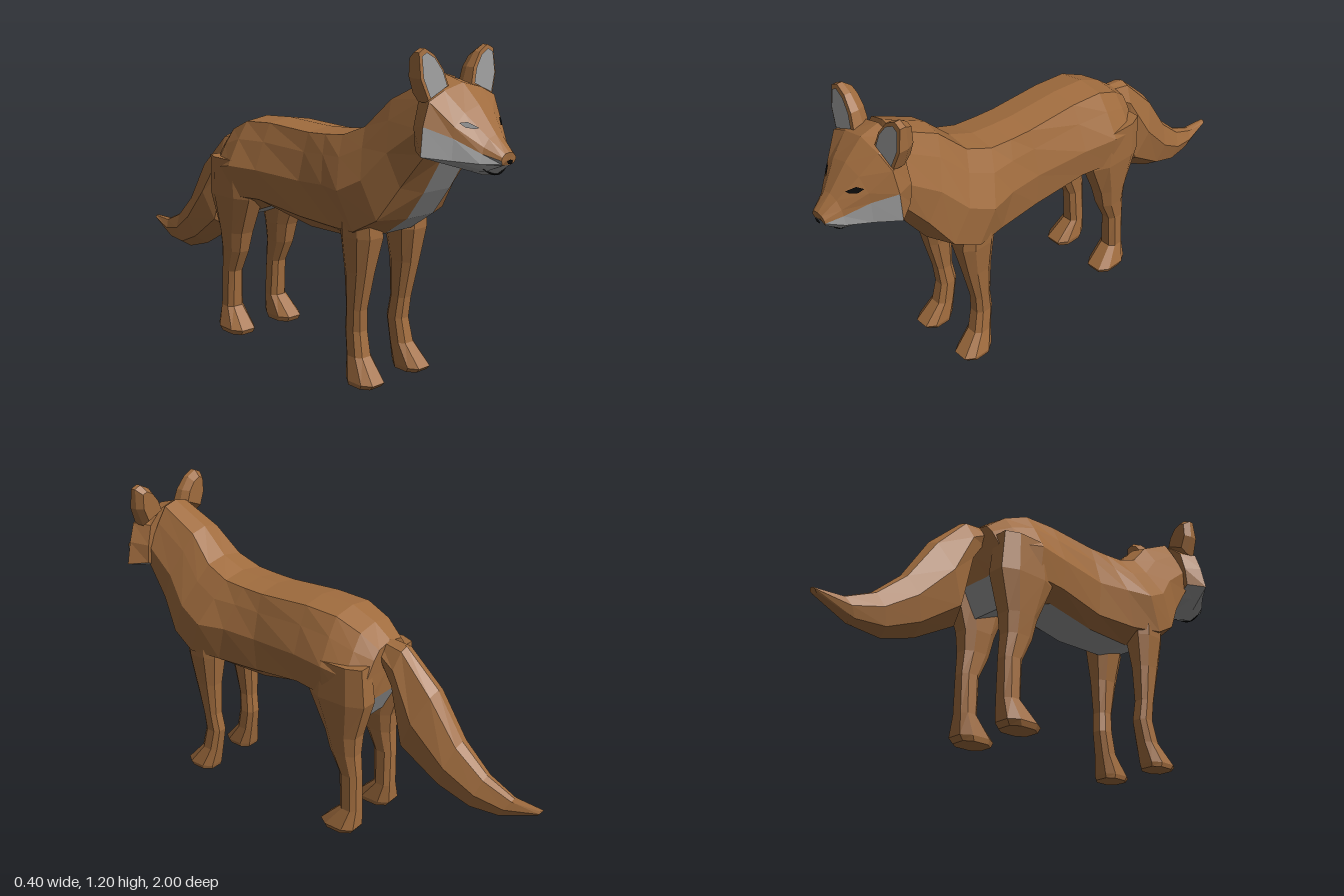
import * as THREE from 'three';

const fur = new THREE.MeshStandardMaterial({ color: 0xa06c3e });
fur.name = 'brown fur';
const pale = new THREE.MeshStandardMaterial({ color: 0x999999 });
pale.name = 'pale fur';
const dark = new THREE.MeshStandardMaterial({ color: 0x080808 });
dark.name = 'black';

const mix = THREE.MathUtils.lerp;

// Flat-shaded skin over closed rings; paint(section, strip) returns 0 fur or 1 pale, section -1 is a cap
function loft(name, rings, paint = () => 0) {
  const faces = [[], []];
  const n = rings[0].length;
  for (let i = 0; i < rings.length - 1; i++) {
    for (let j = 0; j < n; j++) {
      const k = (j + 1) % n;
      const a = rings[i][j], b = rings[i][k], c = rings[i + 1][k], d = rings[i + 1][j];
      faces[paint(i, j)].push(...a, ...b, ...c, ...a, ...c, ...d);
    }
  }
  [rings[0], rings[rings.length - 1]].forEach((ring, end) => {
    const mid = [0, 1, 2].map(q => ring.reduce((s, p) => s + p[q], 0) / n);
    for (let j = 0; j < n; j++) {
      const a = ring[j], b = ring[(j + 1) % n];
      faces[paint(-1, j)].push(...mid, ...(end ? a : b), ...(end ? b : a));
    }
  });
  const geo = new THREE.BufferGeometry();
  geo.setAttribute('position', new THREE.Float32BufferAttribute([...faces[0], ...faces[1]], 3));
  geo.addGroup(0, faces[0].length / 3, 0);
  geo.addGroup(faces[0].length / 3, faces[1].length / 3, 1);
  geo.computeVertexNormals();
  const mesh = new THREE.Mesh(geo, [fur, pale]);
  mesh.name = name;
  return mesh;
}

// Half ring from top centre to bottom centre, mirrored to a full ring
const mirror = half => [...half, ...half.slice(1, -1).reverse().map(([x, y, z]) => [-x, y, z])];
const strip = j => (j < 6 ? j : 11 - j);

// Flat polygon from 3D points
function plate(name, pts, material) {
  const geo = new THREE.BufferGeometry();
  const tri = [];
  for (let i = 1; i < pts.length - 1; i++) tri.push(...pts[0], ...pts[i], ...pts[i + 1]);
  geo.setAttribute('position', new THREE.Float32BufferAttribute(tri, 3));
  geo.computeVertexNormals();
  const mesh = new THREE.Mesh(geo, material);
  mesh.name = name;
  return mesh;
}

function makeBody() {
  // Spine z, y; belly z, y; half width of back and flank; flank y; lower flank y; belly half width
  const sections = [
    [0.72, 1.11, 0.78, 0.84, 0.06, 0.135, 0.94, 0.86, 0.065],
    [0.56, 1.03, 0.71, 0.72, 0.07, 0.15, 0.85, 0.74, 0.065],
    [0.46, 0.93, 0.64, 0.62, 0.09, 0.18, 0.75, 0.62, 0.065],
    [0.36, 0.89, 0.54, 0.55, 0.1, 0.195, 0.7, 0.565, 0.065],
    [0.27, 0.882, 0.4, 0.51, 0.1, 0.165, 0.7, 0.555, 0.075],
    [0.18, 0.878, 0.18, 0.51, 0.1, 0.148, 0.69, 0.555, 0.085],
    [-0.04, 0.888, -0.04, 0.55, 0.1, 0.172, 0.7, 0.585, 0.085],
    [-0.18, 0.88, -0.18, 0.5, 0.1, 0.195, 0.7, 0.58, 0.07],
    [-0.28, 0.838, -0.28, 0.46, 0.09, 0.18, 0.68, 0.56, 0.065],
    [-0.35, 0.785, -0.335, 0.57, 0.07, 0.13, 0.68, 0.58, 0.06],
  ];
  const rings = sections.map(([zt, yt, zb, yb, back, flank, ym, yl, belly]) => mirror([
    [0, yt, zt],
    [back, yt - 0.015, zt],
    [mix(back, flank, 0.45), mix(yt, ym, 0.45), mix(zt, zb, 0.15)],
    [flank, ym, mix(zt, zb, 0.4)],
    [flank * 0.92, yl, mix(zt, zb, 0.75)],
    [belly, yb, zb],
    [0, yb, zb],
  ]));
  // Chest, belly and rump underside are pale
  return loft('body', rings, (i, j) => (i >= 0 && strip(j) >= (i === 8 ? 4 : 5) ? 1 : 0));
}

function makeEar(side) {
  const label = side > 0 ? 'left' : 'right';
  const outline = [[0.152, 1.197], [0.18, 1.184], [0.182, 1.105], [0.152, 1.03], [0.054, 1.07], [0.073, 1.127], [0.11, 1.175]];
  const pts = outline.map(([x, y]) => [side * x, y]);
  if (side < 0) pts.reverse();
  const front = y => 0.8 - (y - 1.03) * 0.15;
  const shrink = (s, z) => pts.map(([x, y]) => {
    const sy = mix(1.115, y, s);
    return [mix(side * 0.13, x, s), sy, z(sy)];
  });
  const ear = new THREE.Group();
  ear.name = label + 'Ear';
  ear.add(loft(label + 'EarShell', [shrink(1, front), shrink(1, () => 0.755), shrink(0.72, () => 0.725)]));
  ear.add(plate(label + 'InnerEar', shrink(0.84, y => front(y) + 0.004).reverse(), pale));
  return ear;
}

function makeHead() {
  const head = new THREE.Group();
  head.name = 'head';
  // z, forward lean of the jaw, crown y, chin y, then x and y of brow, temple, cheek, ruff and jaw
  const sections = [
    [0.994, -0.012, 0.885, 0.843, [0.02, 0.882], [0.033, 0.872], [0.036, 0.862], [0.03, 0.85], [0.02, 0.845]],
    [0.942, 0.008, 0.935, 0.81, [0.035, 0.925], [0.058, 0.9], [0.065, 0.88], [0.075, 0.85], [0.05, 0.825]],
    [0.872, 0.028, 1.02, 0.8, [0.07, 1], [0.115, 0.96], [0.12, 0.925], [0.13, 0.857], [0.06, 0.82]],
    [0.805, 0.035, 1.085, 0.825, [0.09, 1.065], [0.16, 1.035], [0.185, 0.96], [0.2, 0.868], [0.11, 0.845]],
    [0.735, 0.045, 1.105, 0.835, [0.07, 1.085], [0.13, 1.03], [0.15, 0.95], [0.15, 0.875], [0.08, 0.84]],
  ];
  const lean = [0, 0, 0, 0, 0.2, 0.6, 1];
  const halves = sections.map(([z, jaw, crown, chin, ...sides]) =>
    [[0, crown], ...sides, [0, chin]].map(([x, y], i) => [x, y, z + jaw * lean[i]]));
  // Cheeks and jaw are pale
  head.add(loft('skull', halves.map(mirror), (i, j) => (i >= 0 && strip(j) >= (i === 3 ? 4 : 3) ? 1 : 0)));

  // Eyes lie in the plane of the brow faces
  const [a, b, c, d] = [halves[1][1], halves[2][1], halves[2][2], halves[1][2]].map(p => new THREE.Vector3(...p));
  const normal = c.clone().sub(a).cross(b.clone().sub(d)).normalize();
  const mid = a.clone().add(b).add(c).add(d).multiplyScalar(0.25);
  const eye = [[0.052, 0.957], [0.066, 0.954], [0.09, 0.959], [0.102, 0.973], [0.078, 0.975]].map(([x, y]) =>
    [x, y, mid.z - (normal.x * (x - mid.x) + normal.y * (y - mid.y)) / normal.z + 0.007]);
  head.add(plate('leftEye', eye, dark));
  head.add(plate('rightEye', eye.map(([x, y, z]) => [-x, y, z]).reverse(), dark));

  // Nose pad and mouth line
  const nose = [[-0.008, 0.85], [0.008, 0.85], [0.015, 0.859], [0, 0.864], [-0.015, 0.859]];
  head.add(plate('nose', nose.map(([x, y]) => [x, y, 0.999]), dark));
  const lip = [-0.06, -0.03, 0, 0.03, 0.06].map(x =>
    new THREE.Vector3(x, 0.811 + 6.4 * x * x, 0.952 - 2.5 * x * x));
  const mouth = new THREE.Mesh(new THREE.TubeGeometry(new THREE.CatmullRomCurve3(lip), 10, 0.003, 5), dark);
  mouth.name = 'mouth';
  head.add(mouth, makeEar(1), makeEar(-1));
  return head;
}

function makeTail() {
  // Upper z, y, lower z, y and half width of each section
  const sections = [
    [-0.32, 0.79, -0.34, 0.69, 0.05], [-0.42, 0.78, -0.385, 0.6, 0.065], [-0.56, 0.65, -0.43, 0.365, 0.09],
    [-0.67, 0.48, -0.6, 0.27, 0.076], [-0.78, 0.38, -0.73, 0.23, 0.056], [-0.89, 0.33, -0.84, 0.24, 0.036],
    [-1, 0.325, -0.985, 0.305, 0.015],
  ];
  const shape = [[0, 0], [0.5, 0.06], [1, 0.42], [0.75, 0.82], [0, 1]];
  return loft('tail', sections.map(([z0, y0, z1, y1, w]) =>
    mirror(shape.map(([x, t]) => [x * w, mix(y0, y1, t), mix(z0, z1, t)]))));
}

// Leg sections: y, back z, front z, inner x, outer x, with cut corners
function makeLeg(name, side, sections) {
  const corner = [[1, -0.5], [1, 0.5], [0.55, 1], [-0.55, 1], [-1, 0.5], [-1, -0.5], [-0.55, -1], [0.55, -1]];
  return loft(name, sections.map(([y, z0, z1, x0, x1]) => corner.map(([u, v]) =>
    [side * (x0 + x1) / 2 + u * (x1 - x0) / 2, y, (z0 + z1) / 2 + v * (z1 - z0) / 2])));
}

export function createModel() {
  const model = new THREE.Group();
  model.name = 'fox';
  model.add(makeBody(), makeHead(), makeTail());
  const foreleg = [
    [0.68, 0.4, 0.54, 0.08, 0.175], [0.54, 0.4, 0.545, 0.05, 0.17], [0.41, 0.415, 0.52, 0.073, 0.155],
    [0.27, 0.42, 0.49, 0.08, 0.145], [0.19, 0.41, 0.485, 0.073, 0.14], [0.1, 0.425, 0.505, 0.073, 0.148],
    [0.02, 0.44, 0.575, 0.066, 0.172], [0.003, 0.445, 0.56, 0.07, 0.168],
  ];
  const hindleg = [
    [0.72, -0.34, -0.12, 0.08, 0.185], [0.57, -0.35, -0.1, 0.06, 0.185], [0.42, -0.305, -0.165, 0.065, 0.168],
    [0.34, -0.3, -0.185, 0.075, 0.158], [0.25, -0.308, -0.228, 0.08, 0.15], [0.1, -0.31, -0.235, 0.075, 0.153],
    [0.02, -0.31, -0.155, 0.066, 0.18], [0, -0.295, -0.165, 0.07, 0.172],
  ];
  for (const side of [1, -1]) {
    const label = side > 0 ? 'left' : 'right';
    model.add(makeLeg(label + 'FrontLeg', side, foreleg), makeLeg(label + 'HindLeg', side, hindleg));
  }
  return model;
}
